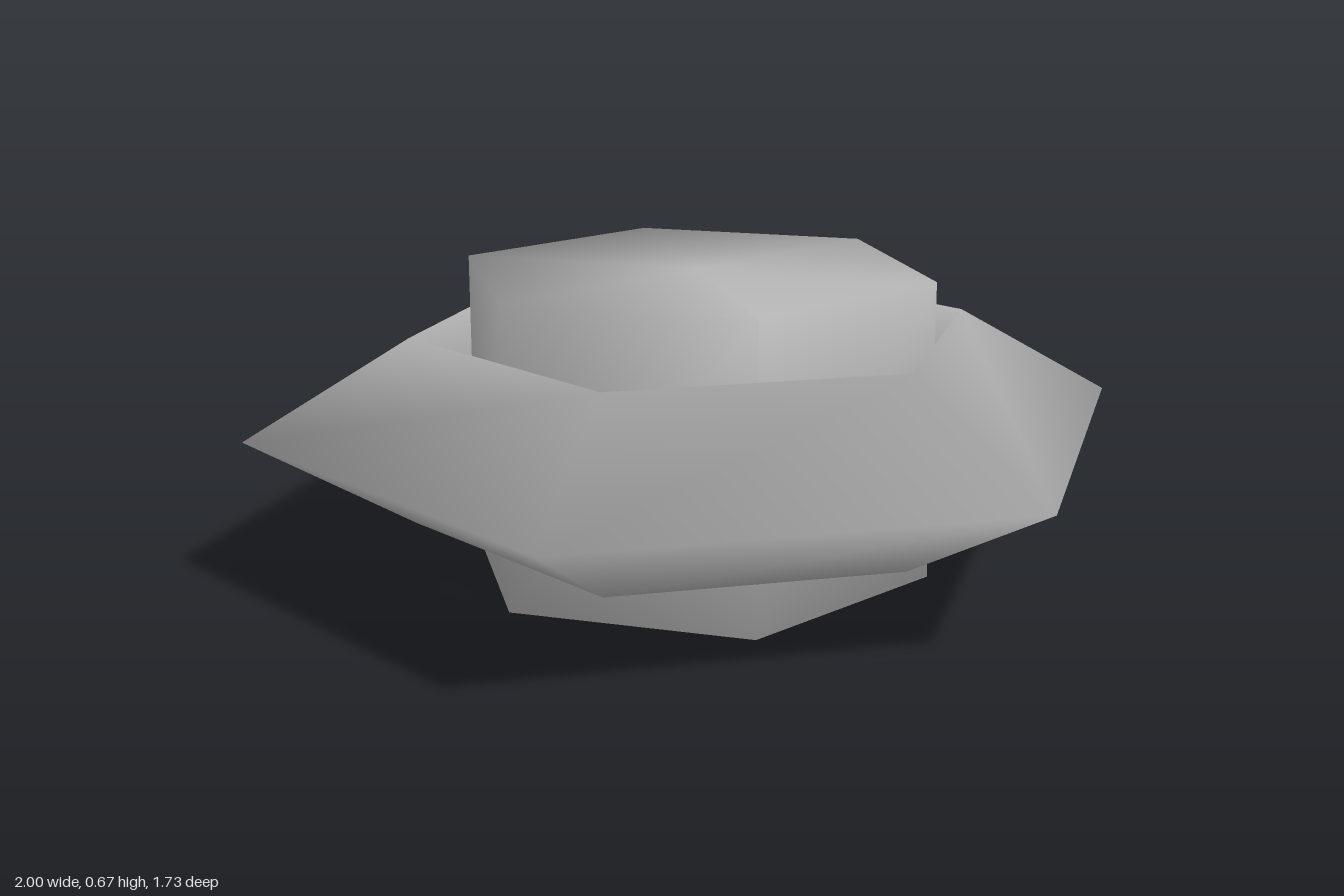
import * as THREE from 'three';
import { mergeVertices } from 'three/addons/utils/BufferGeometryUtils.js';

// Shares every corner so the normals blend across all edges
function smooth(geometry) {
  geometry.deleteAttribute('uv');
  geometry.deleteAttribute('normal');
  const merged = mergeVertices(geometry, 1e-3);
  merged.computeVertexNormals();
  return merged;
}

export function createModel() {
  const model = new THREE.Group();
  model.name = 'hexRingAndCore';
  const grey = new THREE.MeshStandardMaterial({ color: 0xb4b4b4 });
  grey.name = 'grey';

  const midHeight = 0.335;

  // Six-sided ring with a triangular section, ridge outwards
  const tube = 0.2433;
  const ringGeometry = new THREE.TorusGeometry(1 - tube, tube, 3, 6);
  ringGeometry.rotateX(Math.PI / 2);
  const ring = new THREE.Mesh(smooth(ringGeometry), grey);
  ring.name = 'outerRing';
  ring.position.y = midHeight;
  model.add(ring);

  // Six-sided core with corners towards front and back
  const coreGeometry = new THREE.CylinderGeometry(0.542, 0.542, midHeight * 2, 6);
  const core = new THREE.Mesh(smooth(coreGeometry), grey);
  core.name = 'core';
  core.position.y = midHeight;
  model.add(core);

  return model;
}
